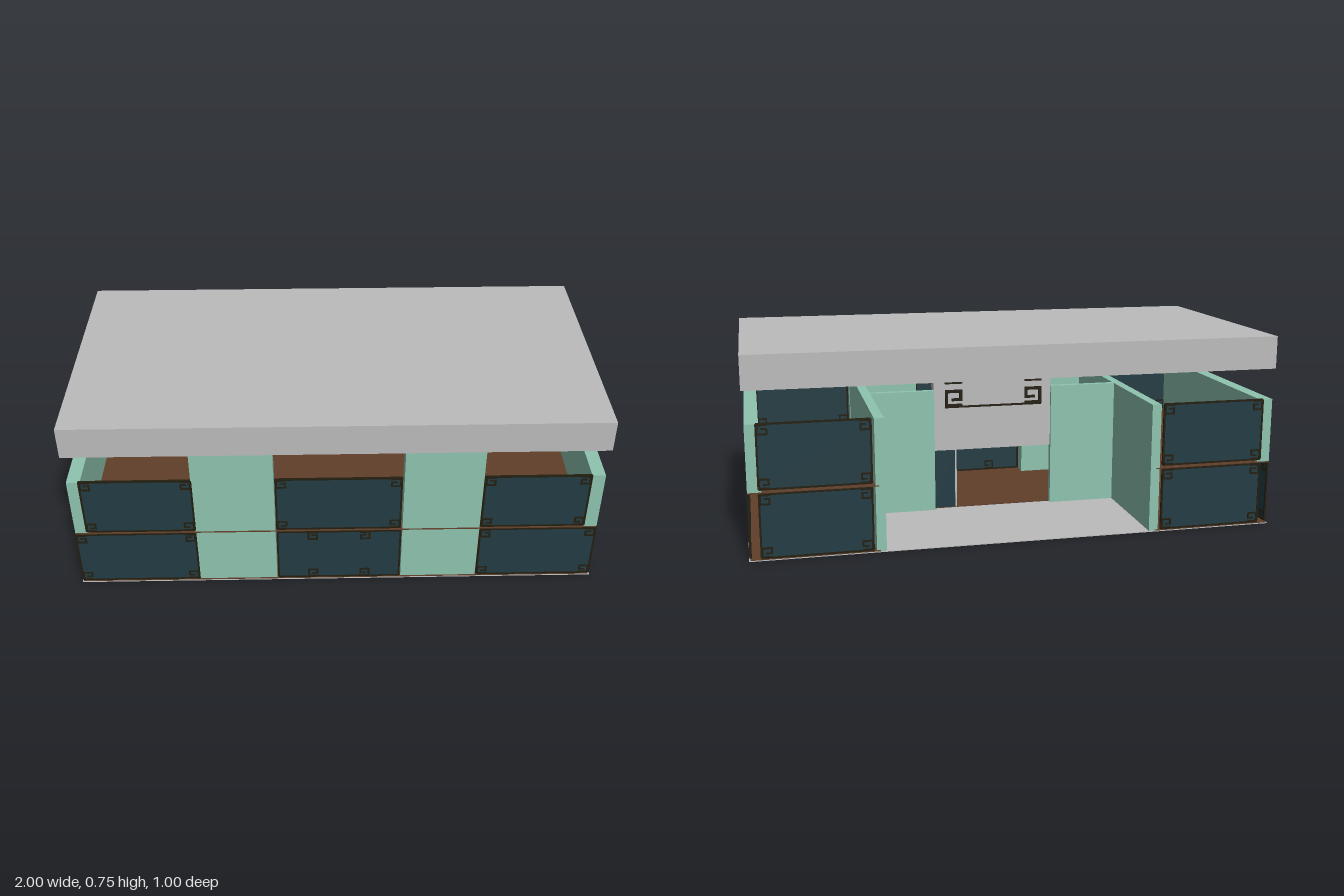
import * as THREE from 'three';

const mat = (name, color) => {
  const m = new THREE.MeshStandardMaterial({ color });
  m.name = name;
  return m;
};

export function createModel() {
  const root = new THREE.Group();
  root.name = 'building';
  const grey = mat('concrete grey', 0xbcbcbc);
  const green = mat('wall green', 0x8fc4b0);
  const teal = mat('panel teal', 0x233c44);
  const trim = mat('trim dark', 0x231e10);
  const brown = mat('floor brown', 0x603f2a);

  // Box from its minimum and maximum corners
  function block(parent, name, m, x0, x1, y0, y1, z0, z1) {
    const mesh = new THREE.Mesh(new THREE.BoxGeometry(x1 - x0, y1 - y0, z1 - z0), m);
    mesh.position.set((x0 + x1) / 2, (y0 + y1) / 2, (z0 + z1) / 2);
    mesh.name = name;
    parent.add(mesh);
    return mesh;
  }

  // Square key-pattern bracket for a corner; sx and sy point towards that corner
  function bracket(parent, cx, cy, sx, sy, s, depth) {
    const t = s * 0.17;
    const bars = [
      [0, s, s - t, s], [s - t, s, 0, s], [0, s, 0, t],
      [0, t, 0, s * 0.65], [0, s * 0.6, s * 0.5, s * 0.65],
    ];
    const g = new THREE.Group();
    g.name = 'cornerBracket';
    for (const [a, b, c, d] of bars) {
      const x0 = cx - sx * (s - a), x1 = cx - sx * (s - b);
      const y0 = cy - sy * (s - c), y1 = cy - sy * (s - d);
      block(g, 'bracketBar', trim, Math.min(x0, x1), Math.max(x0, x1),
        Math.min(y0, y1), Math.max(y0, y1), -depth, depth);
    }
    parent.add(g);
  }

  // Framed panel centred on its own origin, facing z
  function panel(name, w, h, { fill = true, size = 0.036, inset = 0, sides = true } = {}) {
    const g = new THREE.Group();
    g.name = name;
    const x = w / 2, y = h / 2, t = 0.007;
    if (fill) block(g, 'panelSheet', teal, -x, x, -y, y, -0.002, 0.002);
    for (const s of [-1, 1]) {
      block(g, 'frameRail', trim, -x, x, s * y - t / 2, s * y + t / 2, -0.0035, 0.0035);
      if (sides) block(g, 'frameStile', trim, s * x - t / 2, s * x + t / 2, -y, y, -0.0035, 0.0035);
      for (const v of [-1, 1]) bracket(g, s * (x - inset), v * y, s, v, size, 0.0045);
    }
    root.add(g);
    return g;
  }

  // Roof and ground slab
  block(root, 'roof', grey, -1, 1, 0.62, 0.745, -0.5, 0.5);
  block(root, 'groundSlab', grey, -1, 1, 0, 0.003, -0.5, 0.5);

  // Brown floors on both storeys, leaving the rear hall open
  for (const y of [0.003, 0.249]) {
    block(root, 'frontFloor', brown, -0.995, 0.995, y, y + 0.004, -0.03, 0.498);
    for (const s of [-1, 1]) {
      const a = s * 0.53, b = s * 0.995;
      block(root, 'sideFloor', brown, Math.min(a, b), Math.max(a, b), y, y + 0.004, -0.498, -0.03);
    }
  }

  // Front pillars
  block(root, 'frontPillar', green, -0.54, -0.235, 0.003, 0.62, 0.435, 0.495);
  block(root, 'frontPillar', green, 0.25, 0.545, 0.003, 0.62, 0.435, 0.495);

  // Upper side walls and partitions
  for (const s of [-1, 1]) {
    block(root, 'upperSideWall', green, s * 0.97 - 0.025, s * 0.97 + 0.025, 0.253, 0.5, -0.495, 0.495);
    block(root, 'partition', green, s * 0.525 - 0.018, s * 0.525 + 0.018, 0.003, 0.5, -0.495, 0.44);
  }

  // Hall back wall with a central lintel
  block(root, 'hallWall', green, -0.51, -0.235, 0.003, 0.5, -0.05, -0.025);
  block(root, 'hallWall', green, 0.25, 0.51, 0.003, 0.5, -0.05, -0.025);
  block(root, 'lintel', grey, -0.235, 0.25, 0.25, 0.62, -0.04, 0.02);
  panel('lintelFrame', 0.4, 0.165, { fill: false, size: 0.07, sides: false })
    .position.set(0.005, 0.512, -0.044);

  // Partly open sliding door leaf
  block(root, 'doorLeaf', teal, 0.165, 0.25, 0.008, 0.245, -0.036, -0.031);
  block(root, 'doorEdge', grey, 0.158, 0.165, 0.008, 0.248, -0.037, -0.03);

  // Front panels: lower row, then upper row
  const front = [
    [-0.995, -0.54, 0.012, 0.245, 0], [-0.228, 0.243, 0.012, 0.245, 0.115],
    [0.55, 0.993, 0.012, 0.245, 0], [-0.95, -0.54, 0.262, 0.502, 0],
    [-0.228, 0.24, 0.262, 0.502, 0], [0.55, 0.943, 0.262, 0.502, 0],
  ];
  for (const [x0, x1, y0, y1, inset] of front) {
    panel('frontPanel', x1 - x0, y1 - y0, { inset, size: 0.04 })
      .position.set((x0 + x1) / 2, (y0 + y1) / 2, 0.495);
  }

  // Rear panels, two rows on each side of the hall
  for (const s of [-1, 1]) for (const y of [0.128, 0.382]) {
    panel('rearPanel', 0.4, 0.236, { size: 0.04 }).position.set(s * 0.755, y, -0.495);
  }

  // Side panels; the front bay on the right side stays open
  for (const [x, z] of [[0.994, 0.255], [0.994, -0.248], [-0.994, -0.248], [-0.994, -0.225]].slice(0, 3)) {
    const p = panel('sidePanel', 0.476, 0.236, { size: 0.036 });
    p.rotation.y = Math.PI / 2;
    p.position.set(x, 0.128, z);
  }
  block(root, 'sideBayPost', trim, -0.998, -0.985, 0.005, 0.248, 0.03, 0.06);

  return root;
}
